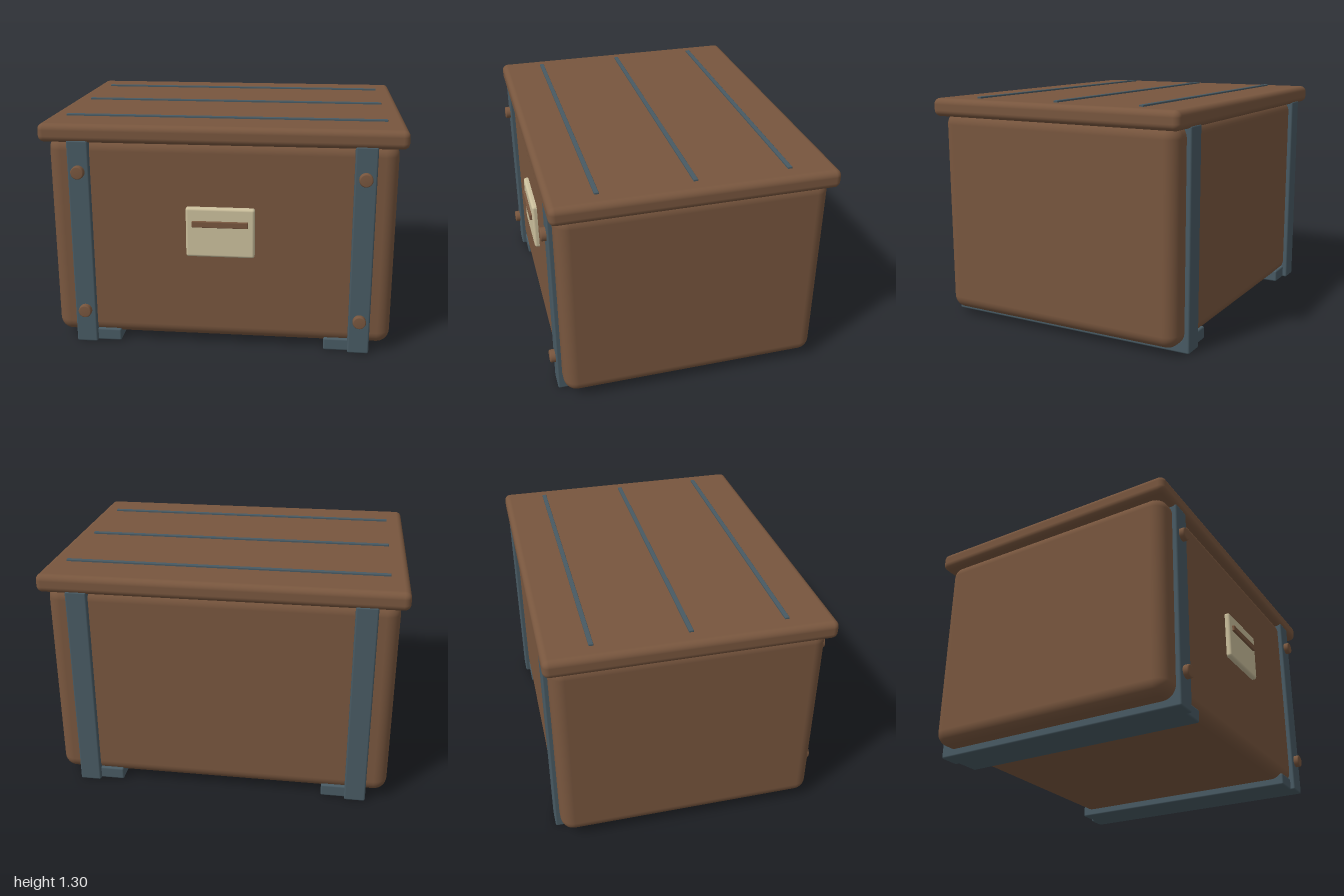
import * as THREE from 'three';
import { RoundedBoxGeometry } from 'three/addons/geometries/RoundedBoxGeometry.js';

export function createModel() {
  const chest = new THREE.Group();
  chest.name = 'chest';

  const material = (name, color) => {
    const m = new THREE.MeshStandardMaterial({ color });
    m.name = name;
    return m;
  };
  const brown = material('brown', 0x78563e);
  const slate = material('slate', 0x485a63);
  const cream = material('cream', 0xcbbf9c);

  const ZC = -0.011; // depth centre of the chest, the rivets stick out in front

  const add = (name, geometry, mat, x, y, z) => {
    const mesh = new THREE.Mesh(geometry, mat);
    mesh.name = name;
    mesh.position.set(x, y, z);
    chest.add(mesh);
    return mesh;
  };
  // Rounded block given by its lowest and highest corners
  const block = (name, mat, [x0, y0, z0], [x1, y1, z1], radius, segments = 3) =>
    add(name, new RoundedBoxGeometry(x1 - x0, y1 - y0, z1 - z0, segments, radius), mat,
      (x0 + x1) / 2, (y0 + y1) / 2, (z0 + z1) / 2);

  // Main box and overhanging lid
  block('body', brown, [-0.957, 0.042, ZC - 0.741], [0.957, 1.21, ZC + 0.741], 0.075, 5);
  block('lid', brown, [-1, 1.183, ZC - 0.774], [1, 1.286, ZC + 0.774], 0.035, 4);

  // Thin inlaid strips across the lid
  for (const dz of [-0.516, 0, 0.516]) {
    block('lidStrip', slate, [-0.9, 1.276, ZC + dz - 0.0125], [0.9, 1.296, ZC + dz + 0.0125], 0.003, 1);
  }

  // Rivet head: a short disc with a softened rim, turned to face the front
  const rivetGeometry = new THREE.LatheGeometry(
    [[0.037, 0], [0.037, 0.026], [0.035, 0.031], [0.03, 0.034], [0, 0.034]]
      .map(([r, h]) => new THREE.Vector2(r, h)), 24);
  rivetGeometry.rotateX(Math.PI / 2);

  for (const side of [-1, 1]) {
    // Upright straps, front and back
    for (const face of [-1, 1]) {
      const z = ZC + face * 0.743;
      block(face > 0 ? 'frontStrap' : 'backStrap', slate,
        [side * 0.78 - 0.06, 0, z - 0.025], [side * 0.78 + 0.06, 1.197, z + 0.025], 0.01, 2);
    }
    // Runner under the box
    block('runner', slate,
      [side * 0.7125 - 0.1275, 0, ZC - 0.742], [side * 0.7125 + 0.1275, 0.072, ZC + 0.742], 0.01, 2);
    // Rivets on the front straps
    for (const y of [0.2, 1.022]) add('rivet', rivetGeometry, brown, side * 0.78, y, 0.754);
  }

  // Front plate with a raised bar
  block('plate', cream, [-0.191, 0.55, 0.715], [0.191, 0.835, 0.759], 0.015, 3);
  block('plateBar', brown, [-0.155, 0.727, 0.745], [0.155, 0.762, 0.773], 0.004, 1);

  return chest;
}
